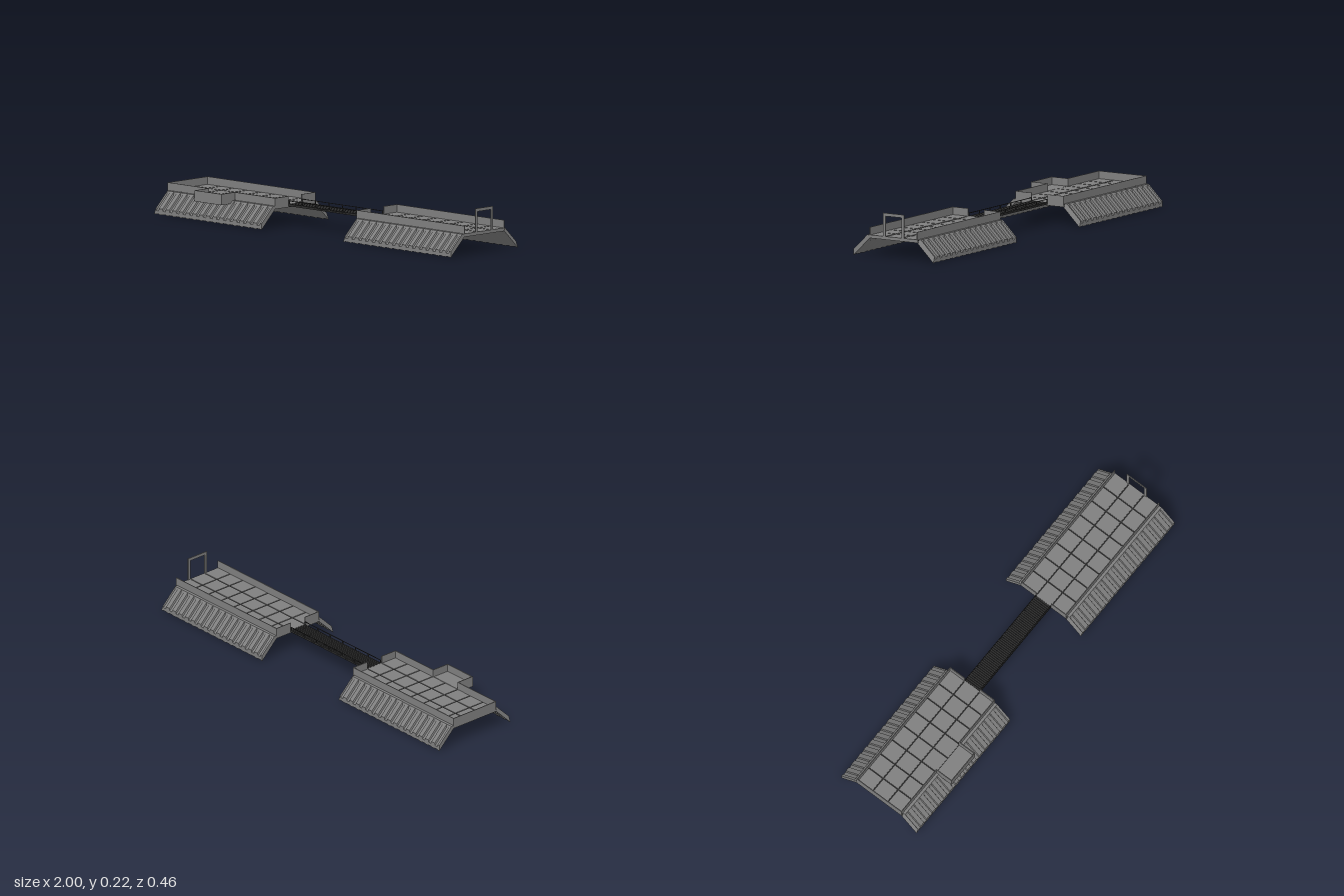
import * as THREE from 'three';

const material = color => new THREE.MeshStandardMaterial({ color, side: THREE.DoubleSide });
const grey = material(0x7f7f7f), dark = material(0x2b2b2b);
grey.flatShading = dark.flatShading = true;
const W = 0.725, TILE = W / 8, EDGE = 0.1365, TOP = 0.1075, WALL_TOP = 0.145, T = 0.004;

// Box given by its min and max corners
function box(parent, name, x0, x1, y0, y1, z0, z1, mat = grey) {
  const m = new THREE.Mesh(new THREE.BoxGeometry(x1 - x0, y1 - y0, z1 - z0), mat);
  m.position.set((x0 + x1) / 2, (y0 + y1) / 2, (z0 + z1) / 2);
  m.name = name;
  parent.add(m);
}

// Corrugated sloping skirt: a channelled profile swept outward and down
function skirtGeometry() {
  const n = 16, p = W / n, s = new THREE.Shape();
  s.moveTo(-W / 2, 0);
  for (let i = 0; i < n; i++) {
    const c = -W / 2 + (i + 0.5) * p;
    s.lineTo(c - 0.014, 0);
    s.lineTo(c - 0.011, 0.08);
    s.lineTo(c + 0.011, 0.08);
    s.lineTo(c + 0.014, 0);
  }
  s.lineTo(W / 2, 0);
  s.lineTo(W / 2, 1);
  for (let i = n - 1; i >= 0; i--) {
    const c = -W / 2 + (i + 0.5) * p;
    s.lineTo(c + 0.011, 1);
    s.lineTo(c + 0.008, 0.62);
    s.lineTo(c - 0.008, 0.62);
    s.lineTo(c - 0.011, 1);
  }
  s.closePath();
  const g = new THREE.ExtrudeGeometry(s, { depth: 3, steps: 3, bevelEnabled: false });
  const pos = g.attributes.position, stations = [0.136, 0.15, 0.156, 0.228];
  for (let i = 0; i < pos.count; i++) {
    const k = Math.round(pos.getZ(i)), z = stations[k];
    // The channels start just below the deck edge
    const v = k < 2 ? Math.round(pos.getY(i)) : pos.getY(i);
    const lo = 0.092 - (z - 0.136) * 0.978;
    const hi = Math.min(0.107, 0.031 + (0.228 - z) * 0.975);
    pos.setXYZ(i, pos.getX(i), lo + (hi - lo) * v, z);
  }
  g.computeVertexNormals();
  return g;
}

// Low wall along x made of tile-wide panels; skip(i) leaves openings
function sideWall(parent, z0, z1, skip) {
  for (let i = 0; i < 8; i++) {
    if (skip(i)) continue;
    const x = -W / 2 + i * TILE;
    box(parent, 'sideWallPanel', x, x + TILE, TOP, WALL_TOP, z0, z1);
  }
}

// End wall across z, optionally with a doorway in the middle
function endWall(parent, side, halfGap) {
  const a = side * W / 2, b = side * (W / 2 - T);
  const x0 = Math.min(a, b), x1 = Math.max(a, b);
  for (const [z0, z1] of halfGap ? [[-EDGE, -halfGap], [halfGap, EDGE]] : [[-EDGE, EDGE]])
    box(parent, 'endWallPanel', x0, x1, TOP, WALL_TOP, z0, z1);
}

function platform(name, skirt) {
  const g = new THREE.Group();
  g.name = name;
  // Deck slab with tiles on top, dark joints between them and a beam grid below
  box(g, 'deckSlab', -W / 2, W / 2, 0.099, 0.103, -EDGE, EDGE);
  const row = 2 * EDGE / 3, gap = 0.0035;
  for (let i = 0; i < 8; i++) for (let j = 0; j < 3; j++) {
    const x = -W / 2 + i * TILE, z = -EDGE + j * row;
    box(g, 'deckTile', x + gap, x + TILE - gap, 0.102, TOP, z + gap, z + row - gap);
  }
  for (let i = 0; i <= 8; i++) {
    const x = Math.min(Math.max(-W / 2 + i * TILE, -W / 2 + 0.004), W / 2 - 0.004);
    const end = i % 8 === 0;
    box(g, 'crossBeam', x - 0.004, x + 0.004, 0.092, end ? TOP : 0.1, -EDGE, EDGE);
    if (!end) box(g, 'crossJoint', x - gap, x + gap, 0.102, 0.1045, -EDGE, EDGE, dark);
  }
  for (let j = 0; j <= 3; j++) {
    const z = -EDGE + j * row;
    box(g, 'longBeam', -W / 2, W / 2, 0.0922, 0.1, z - 0.004, z + 0.004);
    box(g, 'longJoint', -W / 2 + 0.004, W / 2 - 0.004, 0.102, 0.1045, z - gap, z + gap, dark);
  }
  // Skirts on the front and back
  for (const turn of [0, Math.PI]) {
    const m = new THREE.Mesh(skirt, grey);
    m.rotation.y = turn;
    m.name = turn ? 'backSkirt' : 'frontSkirt';
    g.add(m);
  }
  sideWall(g, -EDGE, -EDGE + T, () => false);
  return g;
}

export function createModel() {
  const model = new THREE.Group();
  model.name = 'linkedPlatforms';
  const skirt = skirtGeometry();

  // Right platform: closed outer end and a balcony at the front
  const right = platform('rightPlatform', skirt);
  right.position.x = -1 + W / 2;
  sideWall(right, EDGE - T, EDGE, i => i === 3 || i === 4);
  endWall(right, -1, 0);
  endWall(right, 1, 0.045);
  for (const s of [-1, 1]) {
    const x0 = s < 0 ? -TILE : 0, x1 = x0 + TILE, e = s * TILE;
    box(right, 'balconyFloor', x0, x1, 0.092, TOP, EDGE, 0.228);
    box(right, 'balconyFrontWall', x0, x1, TOP, WALL_TOP, 0.228 - T, 0.228);
    box(right, 'balconySideWall', Math.min(e, e - s * T), Math.max(e, e - s * T), TOP, WALL_TOP, EDGE - T, 0.228 - T);
  }
  model.add(right);

  // Left platform: doorway to the bridge, open outer end with a gate frame
  const left = platform('leftPlatform', skirt);
  left.position.x = 1 - W / 2;
  sideWall(left, EDGE - T, EDGE, () => false);
  endWall(left, -1, 0.045);
  const gx = W / 2;
  for (const s of [-1, 1])
    box(left, 'gatePost', gx - T, gx, TOP, 0.221, s > 0 ? 0.046 : -0.06, s > 0 ? 0.06 : -0.046);
  box(left, 'gateLintel', gx - T, gx, 0.206, 0.221, -0.046, 0.046);
  model.add(left);

  // Footbridge: narrow planks on two stringers, with posts and handrails
  const bridge = new THREE.Group();
  bridge.name = 'bridge';
  const L = 0.275, planks = 54, pitch = 2 * L / planks;
  for (let i = 0; i < planks; i++) {
    const x = -L + i * pitch;
    box(bridge, 'plank', x + 0.0008, x + pitch - 0.0008, 0.102, TOP, -0.046, 0.046, dark);
  }
  for (const s of [-1, 1]) {
    const z = s * 0.044;
    box(bridge, 'stringer', -L, L, 0.097, 0.103, z - 0.002, z + 0.002, dark);
    box(bridge, 'handrail', -L, L, 0.1205, 0.1235, z - 0.0012, z + 0.0012, dark);
    for (let i = -3; i <= 3; i++) {
      const x = i * 0.0908;
      box(bridge, 'railPost', x - 0.003, x + 0.003, 0.1, 0.122, z - 0.0015, z + 0.0015, dark);
    }
  }
  model.add(bridge);
  return model;
}
